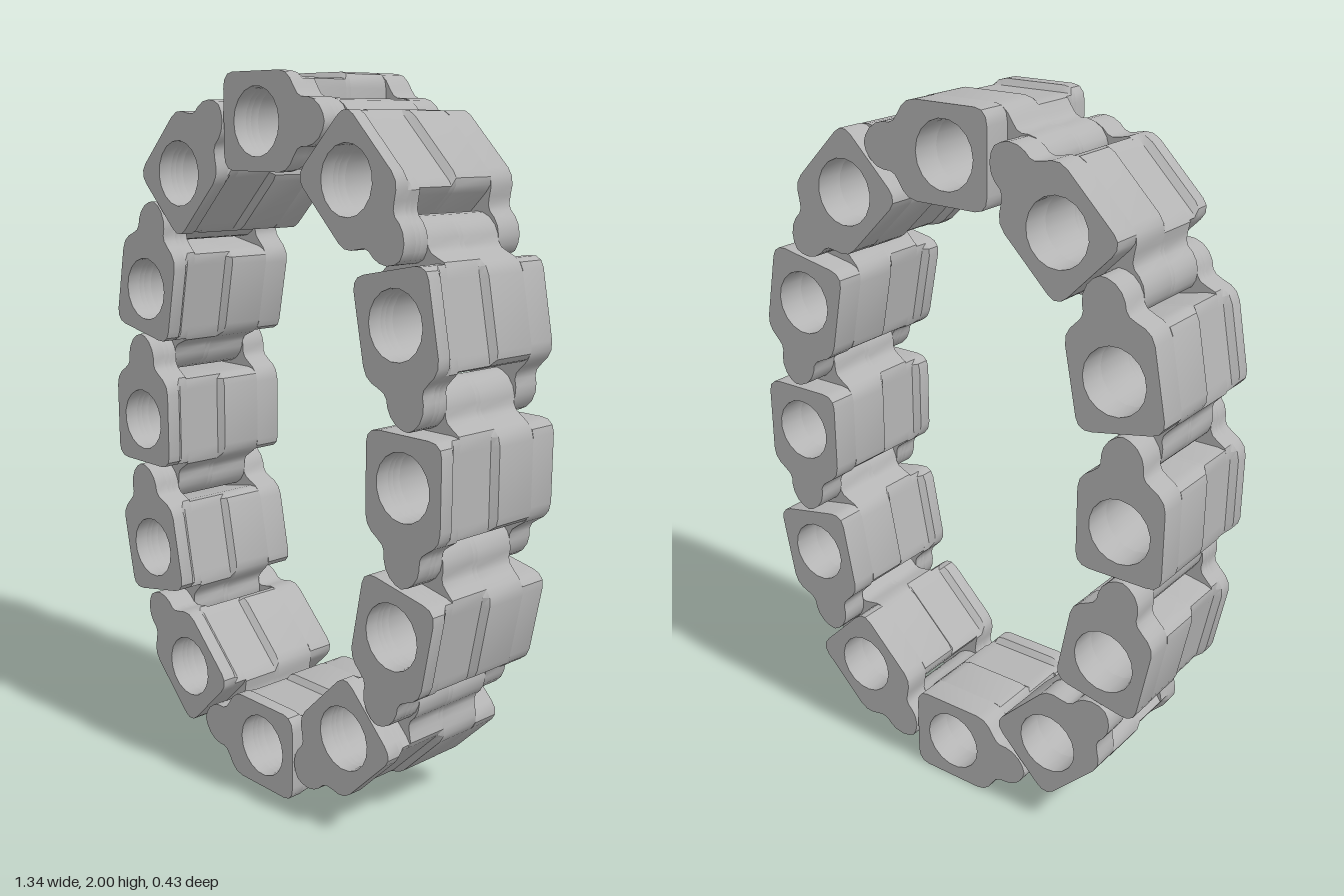
import * as THREE from 'three';
import { mergeGeometries, toCreasedNormals } from 'three/addons/utils/BufferGeometryUtils.js';

const HALF = 0.127;    // half thickness of a link
const RECESS = 0.111;  // half thickness inside the shallow recess
const HOLE = 0.09;

// Link outline: u runs along the chain, v points outwards; dir flips the knuckle end
function outline(dir) {
  const upper = [
    [-0.132, 0.085], [-0.128, 0.107], [-0.115, 0.122], [-0.095, HALF],
    [0.09, HALF], [0.115, 0.121], [0.133, 0.106], [0.147, 0.085], [0.16, 0.068],
    [0.175, 0.061], [0.195, 0.061], [0.218, 0.055], [0.24, 0.04], [0.254, 0.02],
  ];
  const lower = upper.map(([u, v]) => [u, -v]).reverse();
  const points = [...upper, [0.26, 0], ...lower].map(([u, v]) => new THREE.Vector2(u * dir, v));
  const shape = new THREE.Shape(points);
  const hole = [];
  for (let i = 0; i < 18; i++) {
    const a = (i / 18) * Math.PI * 2;
    hole.push(new THREE.Vector2(Math.cos(a) * HOLE, Math.sin(a) * HOLE));
  }
  shape.holes.push(new THREE.Path(hole));
  return shape;
}

// Slice between two depths, its thickness clamped separately at each end
function slice(shape, z0, z1, limit0, limit1) {
  const geo = new THREE.ExtrudeGeometry(shape, { depth: z1 - z0, bevelEnabled: false });
  const p = geo.attributes.position;
  for (let i = 0; i < p.count; i++) {
    const front = p.getZ(i) > (z1 - z0) / 2;
    const limit = front ? limit1 : limit0;
    p.setY(i, THREE.MathUtils.clamp(p.getY(i), -limit, limit));
    p.setZ(i, front ? z1 : z0);
  }
  geo.clearGroups();
  return toCreasedNormals(geo, 0.6);
}

export function createModel() {
  const model = new THREE.Group();
  model.name = 'linkRing';
  const steel = new THREE.MeshStandardMaterial({ color: 0xb4b4b4 });
  steel.name = 'grey steel';

  const fork = outline(1);
  const tongue = outline(-1);

  // Outer plates carry the forward knuckles
  const forkGeo = mergeGeometries([
    slice(fork, -0.213, -0.13, HALF, HALF),
    slice(fork, 0.13, 0.155, RECESS, RECESS),
    slice(fork, 0.155, 0.172, RECESS, HALF),
    slice(fork, 0.172, 0.213, HALF, HALF),
  ]);
  // Middle block carries the backward knuckle
  const tongueGeo = mergeGeometries([
    slice(tongue, -0.13, 0, HALF, HALF),
    slice(tongue, 0, 0.016, HALF, RECESS),
    slice(tongue, 0.016, 0.13, RECESS, RECESS),
  ]);

  function addLink(x, y, degrees) {
    const link = new THREE.Group();
    link.name = 'chainLink';
    const plates = new THREE.Mesh(forkGeo, steel);
    plates.name = 'forkPlates';
    const block = new THREE.Mesh(tongueGeo, steel);
    block.name = 'middleBlock';
    link.add(plates, block);
    link.position.set(x, y, 0);
    link.rotation.z = THREE.MathUtils.degToRad(degrees);
    model.add(link);
  }

  // Half of the oval, repeated by a half turn
  const half = [
    [0, 0.873, 0], [0.337, 0.733, -45], [0.509, 0.396, -79],
    [0.541, 0, -90], [0.509, -0.396, -101], [0.337, -0.733, -135],
  ];
  for (const [x, y, a] of half) {
    addLink(x, 1 + y, a);
    addLink(-x, 1 - y, a + 180);
  }
  return model;
}
